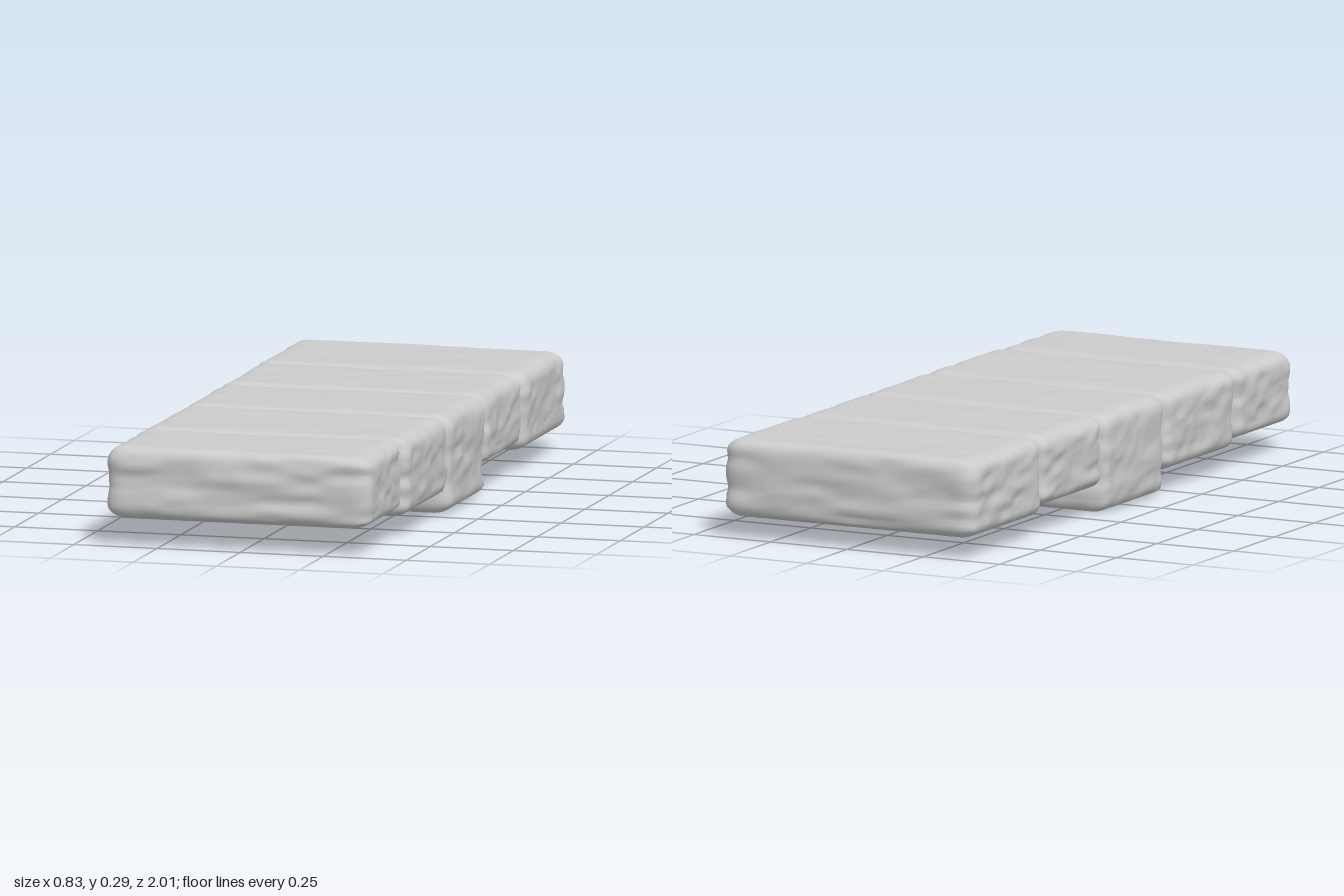
import * as THREE from 'three';
import { mergeVertices } from 'three/addons/utils/BufferGeometryUtils.js';

// Smooth seeded value noise in -1..1
function hash(x, y, z) {
  let h = Math.imul(x, 374761393) ^ Math.imul(y, 668265263) ^ Math.imul(z, 1274126177);
  h = Math.imul(h ^ (h >>> 13), 1103515245);
  return ((h ^ (h >>> 16)) >>> 0) / 4294967295 * 2 - 1;
}

function noise(x, y, z) {
  const [i, j, k] = [x, y, z].map(Math.floor);
  const [u, v, w] = [x - i, y - j, z - k].map((t) => t * t * (3 - 2 * t));
  const mix = THREE.MathUtils.lerp;
  const row = (b, c) => mix(hash(i, b, c), hash(i + 1, b, c), u);
  return mix(mix(row(j, k), row(j + 1, k), v), mix(row(j, k + 1), row(j + 1, k + 1), v), w);
}

// Rounded box with layered, weathered faces and a flat underside
function stoneGeometry(width, height, depth, seed) {
  const box = new THREE.BoxGeometry(width, height, depth, 60, 18, 34);
  box.deleteAttribute('normal');
  box.deleteAttribute('uv');
  const geometry = mergeVertices(box);
  const radius = new THREE.Vector3(0.06, 0.04, 0.04);
  const inner = new THREE.Vector3(width, height, depth).multiplyScalar(0.5).sub(radius);
  const innerMin = inner.clone().negate();
  const pos = geometry.attributes.position;
  const p = new THREE.Vector3();
  const core = new THREE.Vector3();
  const n = new THREE.Vector3();
  for (let i = 0; i < pos.count; i++) {
    p.fromBufferAttribute(pos, i);
    core.copy(p).clamp(innerMin, inner);
    n.copy(p).sub(core).divide(radius).normalize();
    p.copy(core).addScaledVector(n.clone().multiply(radius), 1);
    n.divide(radius).normalize();
    // ripples run along the stone's layers, stronger on the sides than on top
    const ripple = noise(p.x * 8 + seed, p.y * 34 + seed, p.z * 15 + seed)
      + 0.4 * noise(p.x * 17 + seed, p.y * 60, p.z * 30);
    const amount = n.y < -0.5 ? 0 : THREE.MathUtils.lerp(0.006, 0.0022, Math.abs(n.y));
    p.addScaledVector(n, amount * (ripple - 0.5));
    pos.setXYZ(i, p.x, p.y, p.z);
  }
  geometry.computeVertexNormals();
  return geometry;
}

export function createModel() {
  const group = new THREE.Group();
  group.name = 'stoneRow';
  const material = new THREE.MeshStandardMaterial({ color: 0xcccccc, roughness: 0.9 });

  // Stones from front to back: [left x, right x, bottom y, back z, front z]
  const top = 0.292;
  const stones = [
    [-0.41, 0.39, 0.08, 0.638, 1.0],
    [-0.41, 0.403, 0.06, 0.205, 0.648],
    [-0.408, 0.406, 0, -0.178, 0.216],
    [-0.408, 0.406, 0.08, -0.562, -0.17],
    [-0.414, 0.412, 0.06, -1.0, -0.555],
  ];
  stones.forEach(([x0, x1, y0, z0, z1], i) => {
    const stone = new THREE.Mesh(stoneGeometry(x1 - x0, top - y0, z1 - z0, 7.3 + i * 19.7), material);
    stone.name = `stoneBlock${i + 1}`;
    stone.position.set((x0 + x1) / 2, (top + y0) / 2, (z0 + z1) / 2);
    group.add(stone);
  });
  return group;
}
